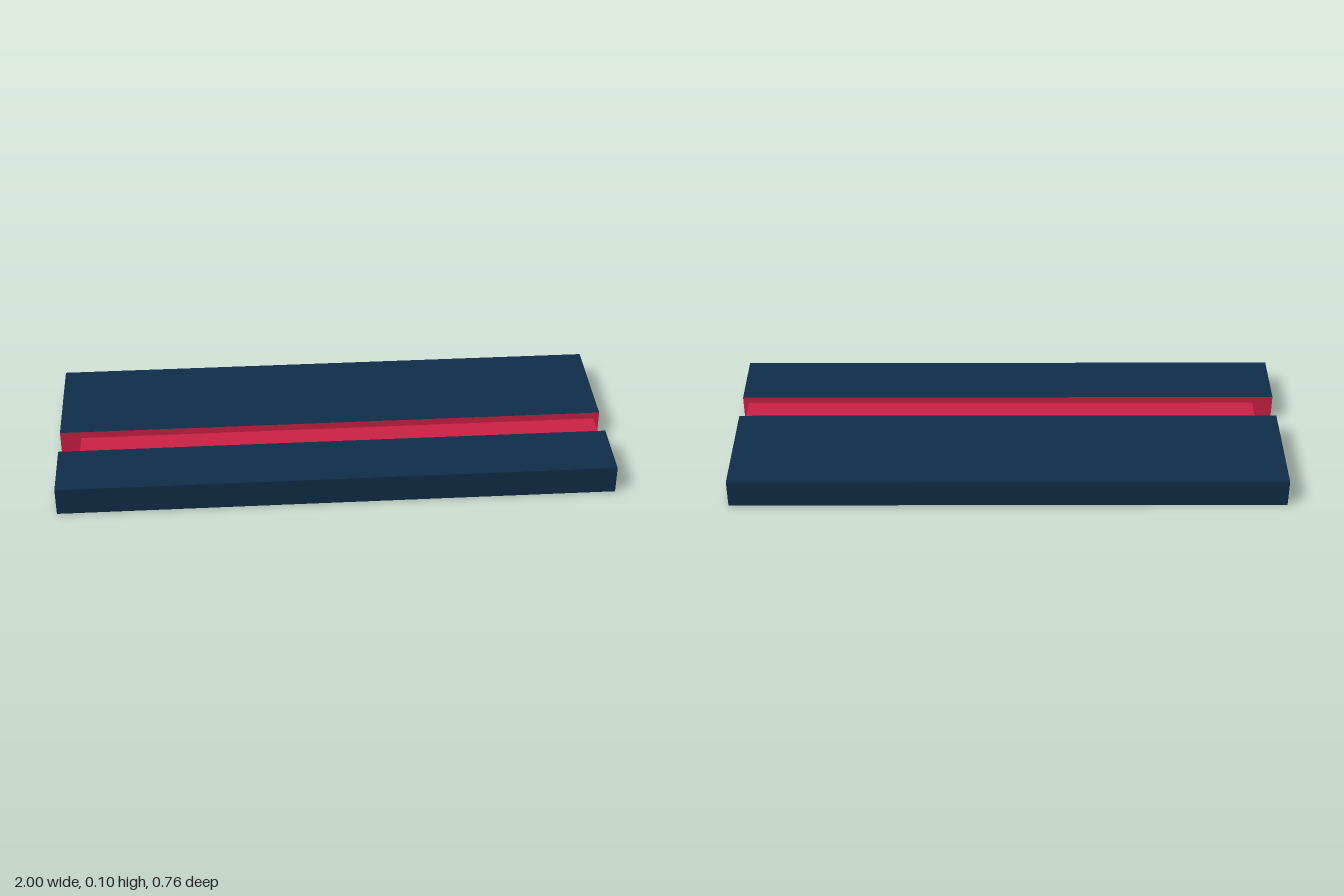
import * as THREE from 'three';

export function createModel() {
  const model = new THREE.Group();
  const navy = new THREE.MeshStandardMaterial({ name: 'navy', color: 0x0f2d4a });
  const red = new THREE.MeshStandardMaterial({ name: 'red', color: 0xcc2146 });

  // Box given by its limits on each axis
  function addBox(name, [x0, x1], [y0, y1], [z0, z1], material) {
    const geometry = new THREE.BoxGeometry(x1 - x0, y1 - y0, z1 - z0);
    const mesh = new THREE.Mesh(geometry, material);
    mesh.name = name;
    mesh.position.set((x0 + x1) / 2, (y0 + y1) / 2, (z0 + z1) / 2);
    model.add(mesh);
  }

  const height = 0.104;
  const gapBack = 0.027;
  const gapFront = 0.145;

  // Two slabs, each with a red face towards the gap (order: +x -x +y -y +z -z)
  addBox('backSlab', [-1, 1], [0, height], [-0.378, gapBack],
    [navy, navy, navy, navy, red, navy]);
  addBox('frontSlab', [-1, 1], [0, height], [gapFront, 0.378],
    [navy, navy, navy, navy, navy, red]);

  // Bar joining the slabs, set slightly to the left
  addBox('connectingBar', [-0.925, 0.98], [0.03, 0.078], [gapBack, gapFront], red);

  return model;
}
